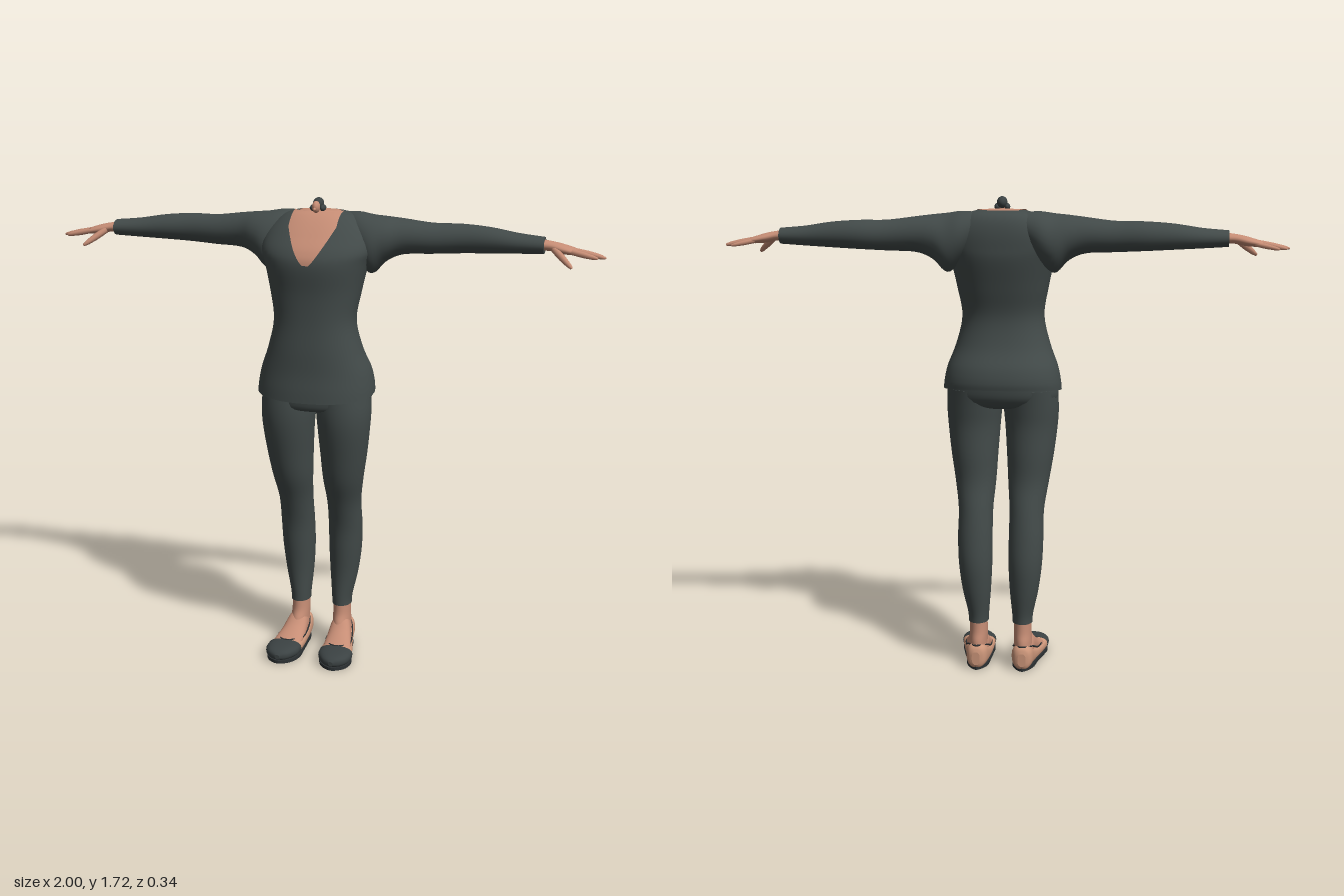
import * as THREE from 'three';

const mat = (name, color, side = THREE.FrontSide) => {
  const m = new THREE.MeshStandardMaterial({ color, side });
  m.name = name;
  return m;
};
const cloth = mat('charcoal cloth', 0x424a49);
const skin = mat('skin', 0xc68d75, THREE.DoubleSide);
const shoeTan = mat('tan shoe', 0xcc967a);
const dark = mat('dark trim', 0x2c3133);
const toe = mat('toe cap', 0x3b4243);

// Catmull-Rom smoothing of section rows [t, a0, a1, b0, b1]
function dense(rows, sub = 5) {
  const out = [], n = rows.length;
  for (let i = 0; i < n - 1; i++) {
    const [p, q, r, s] = [rows[Math.max(i - 1, 0)], rows[i], rows[i + 1], rows[Math.min(i + 2, n - 1)]];
    for (let k = 0; k < sub; k++) {
      const u = k / sub;
      out.push(q.map((v, j) => 0.5 * (2 * v + (r[j] - p[j]) * u + (2 * p[j] - 5 * v + 4 * r[j] - s[j]) * u * u
        + (3 * v - p[j] - 3 * r[j] + s[j]) * u ** 3)));
    }
  }
  out.push(rows[n - 1]);
  return out;
}

// Point on a section; (a, b) are (z, x) for axis y, (y, z) for x, (x, y) for z
function point([t, a0, a1, b0, b1], axis, ang, pw = 1) {
  const f = (v) => Math.sign(v) * Math.abs(v) ** pw;
  const a = (a0 + a1) / 2 + (a1 - a0) / 2 * f(Math.cos(ang));
  const b = (b0 + b1) / 2 + (b1 - b0) / 2 * f(Math.sin(ang));
  return axis === 'y' ? [b, t, a] : axis === 'x' ? [t, a, b] : [a, b, t];
}

function makeGeo(pos, idx) {
  const g = new THREE.BufferGeometry();
  g.setAttribute('position', new THREE.Float32BufferAttribute(pos, 3));
  g.setIndex(idx);
  g.computeVertexNormals();
  return g;
}

// Closed skin through the sections, with flat end caps
function loft(rows, axis, { n = 28, pw = 1, move } = {}) {
  const secs = dense(rows), pos = [], idx = [], last = secs.length - 1;
  const ring = (s) => {
    for (let j = 0; j < n; j++) pos.push(...point(s, axis, j / n * Math.PI * 2, pw));
  };
  secs.forEach(ring);
  for (let i = 0; i < last; i++) for (let j = 0; j < n; j++) {
    const a = i * n + j, b = i * n + (j + 1) % n;
    idx.push(a, b, b + n, a, b + n, a + n);
  }
  for (const [s, up] of [[secs[0], false], [secs[last], true]]) {
    const base = pos.length / 3;
    ring(s);
    const [t, a0, a1, b0, b1] = s;
    pos.push(...point([t, (a0 + a1) / 2, (a0 + a1) / 2, (b0 + b1) / 2, (b0 + b1) / 2], axis, 0));
    for (let j = 0; j < n; j++) {
      const a = base + j, b = base + (j + 1) % n;
      idx.push(...(up ? [a, b, base + n] : [b, a, base + n]));
    }
  }
  if (move) for (let i = 0; i < pos.length; i += 3) move(pos, i);
  return makeGeo(pos, idx);
}

function mirrored(geo) {
  const g = geo.clone().scale(-1, 1, 1), ix = g.index.array;
  for (let i = 0; i < ix.length; i += 3) [ix[i], ix[i + 1]] = [ix[i + 1], ix[i]];
  return g;
}

// Tapered finger with a rounded tip
function finger(from, to, r) {
  const a = new THREE.Vector3(...from), d = new THREE.Vector3(...to).sub(a), l = d.length();
  const prof = [[r, 0], [r, l * 0.45], [r * 0.75, l * 0.8], [r * 0.45, l * 0.96], [0, l]];
  const g = new THREE.LatheGeometry(prof.map((p) => new THREE.Vector2(...p)), 10);
  g.applyQuaternion(new THREE.Quaternion().setFromUnitVectors(new THREE.Vector3(0, 1, 0), d.normalize()));
  return g.translate(a.x, a.y, a.z);
}

const sym = (t, z0, z1, x) => [t, z0, z1, -x, x];
const torso = [
  sym(1.02, -0.163, 0.15, 0.214), sym(1.06, -0.166, 0.147, 0.211), sym(1.12, -0.158, 0.14, 0.2),
  sym(1.2, -0.122, 0.136, 0.17), sym(1.3, -0.105, 0.128, 0.148), sym(1.4, -0.128, 0.128, 0.163),
  sym(1.5, -0.155, 0.137, 0.185), sym(1.55, -0.16, 0.122, 0.2), sym(1.6, -0.16, 0.082, 0.19),
  sym(1.64, -0.152, 0.045, 0.16), sym(1.665, -0.135, 0.015, 0.125), sym(1.677, -0.105, -0.01, 0.085)];
const PW = 0.88;

// Skin showing in the V neck, lying just over the torso surface
function neckline() {
  const rows = dense(torso, 10).filter((s) => s[0] > 1.5), pos = [], idx = [], m = 20;
  rows.forEach((s, i) => {
    const w = 0.084 * Math.min(1, (s[0] - 1.5) / 0.13) ** 0.7;
    const A = Math.asin(Math.min(1, w / s[4]) ** (1 / PW));
    const e = 0.005, big = [s[0] + 0.002, s[1] - e, s[2] + e, s[3] - e, s[4] + e];
    for (let j = 0; j <= m; j++) {
      pos.push(...point(big, 'y', A * (2 * j / m - 1), PW));
      if (i && j) {
        const d = i * (m + 1) + j, c = d - 1, b = d - m - 1, a = b - 1;
        idx.push(a, b, d, a, d, c);
      }
    }
  });
  return makeGeo(pos, idx);
}

export function createModel() {
  const root = new THREE.Group();
  const add = (name, geo, m, parent = root) => {
    const mesh = new THREE.Mesh(geo, m);
    mesh.name = name;
    parent.add(mesh);
    return mesh;
  };
  const pair = (name, geo, m) => {
    add(name + 'Left', geo, m);
    add(name + 'Right', mirrored(geo), m);
  };

  // Tunic, with the hem rising toward the back
  add('tunic', loft(torso, 'y', {
    n: 48, pw: PW,
    move: (p, i) => { if (p[i + 1] < 1.1) p[i + 1] += (0.15 - p[i + 2]) * 0.1 * (1.1 - p[i + 1]) / 0.08; },
  }), cloth);
  add('necklineSkin', neckline(), skin);
  pair('sleeve', loft([
    [0.09, 1.56, 1.672, -0.14, -0.03], [0.14, 1.5, 1.674, -0.16, 0.01], [0.19, 1.46, 1.667, -0.162, 0.03],
    [0.24, 1.505, 1.662, -0.153, 0.015], [0.3, 1.53, 1.655, -0.145, -0.012], [0.4, 1.535, 1.643, -0.142, -0.03],
    [0.5, 1.54, 1.642, -0.148, -0.042], [0.6, 1.545, 1.635, -0.14, -0.04], [0.7, 1.55, 1.62, -0.125, -0.035],
    [0.79, 1.555, 1.612, -0.11, -0.03]], 'x'), cloth);

  // Hands
  pair('palm', loft([
    [0.77, 1.565, 1.605, -0.1, -0.04], [0.81, 1.566, 1.6, -0.098, -0.038], [0.85, 1.558, 1.592, -0.106, -0.03],
    [0.89, 1.556, 1.58, -0.108, -0.03], [0.905, 1.561, 1.574, -0.1, -0.036]], 'x', { n: 20 }), skin);
  [
    [[0.885, 1.57, -0.037], [0.975, 1.552, -0.027], 0.01],
    [[0.89, 1.57, -0.06], [1.0, 1.55, -0.058], 0.01],
    [[0.89, 1.569, -0.081], [0.99, 1.55, -0.088], 0.0095],
    [[0.88, 1.567, -0.098], [0.962, 1.55, -0.118], 0.0085],
    [[0.825, 1.575, -0.045], [0.893, 1.522, 0.014], 0.012],
  ].forEach((f, i) => pair('finger' + (i + 1), finger(...f), skin));

  // Trousers
  add('trouserSeat', loft([
    sym(0.972, -0.08, 0.08, 0.12), sym(0.985, -0.108, 0.1, 0.185), sym(1.02, -0.132, 0.106, 0.203),
    sym(1.08, -0.14, 0.11, 0.195)], 'y', { pw: 0.9 }), cloth);
  pair('trouserLeg', loft([
    [0.175, -0.127, -0.03, 0.045, 0.119], [0.21, -0.13, -0.03, 0.043, 0.121], [0.3, -0.146, -0.03, 0.035, 0.14],
    [0.4, -0.155, -0.022, 0.03, 0.153], [0.5, -0.146, -0.012, 0.03, 0.157], [0.6, -0.128, 0.016, 0.03, 0.157],
    [0.7, -0.105, 0.055, 0.022, 0.172], [0.8, -0.103, 0.08, 0.016, 0.188], [0.9, -0.1, 0.1, 0.009, 0.2],
    [0.97, -0.108, 0.105, 0.003, 0.204], [1.04, -0.12, 0.1, 0.002, 0.2]], 'y'), cloth);

  // Ankles and feet
  pair('ankle', loft([
    [0.05, -0.135, 0.0, 0.05, 0.118], [0.1, -0.134, -0.012, 0.05, 0.117], [0.14, -0.125, -0.03, 0.049, 0.115],
    [0.2, -0.122, -0.036, 0.05, 0.114]], 'y'), skin);
  pair('instep', loft([
    [-0.1, 0.05, 0.12, 0.02, 0.1], [-0.05, 0.046, 0.126, 0.02, 0.13], [0, 0.044, 0.138, 0.02, 0.093],
    [0.04, 0.044, 0.148, 0.02, 0.072], [0.085, 0.048, 0.152, 0.02, 0.052]], 'z'), skin);

  // Flat shoes: tan body, dark toe cap, rim and sole
  pair('shoeBody', loft([
    [-0.148, 0.07, 0.1, 0.02, 0.07], [-0.14, 0.056, 0.114, 0.008, 0.088], [-0.12, 0.046, 0.123, 0.006, 0.096],
    [-0.08, 0.042, 0.128, 0.006, 0.08], [-0.03, 0.04, 0.138, 0.006, 0.062], [0.03, 0.038, 0.152, 0.006, 0.056],
    [0.08, 0.038, 0.163, 0.006, 0.058]], 'z', { pw: 0.75 }), shoeTan);
  pair('toeCap', loft([
    [0.075, 0.037, 0.164, 0.005, 0.06], [0.11, 0.04, 0.165, 0.006, 0.058], [0.14, 0.055, 0.155, 0.009, 0.054],
    [0.16, 0.072, 0.136, 0.014, 0.048], [0.172, 0.095, 0.113, 0.022, 0.038]], 'z', { pw: 0.8 }), toe);
  const rim = [[0.1, 0.06, 0.078], [0.14, 0.054, 0.035], [0.135, 0.058, -0.03], [0.12, 0.08, -0.085],
    [0.085, 0.094, -0.142], [0.05, 0.08, -0.085], [0.044, 0.058, -0.03], [0.05, 0.054, 0.035]];
  pair('shoeRim', new THREE.TubeGeometry(new THREE.CatmullRomCurve3(
    rim.map((p) => new THREE.Vector3(...p)), true), 60, 0.003, 6, true), dark);
  const outline = [[0.104, 0.166], [0.148, 0.14], [0.162, 0.095], [0.15, 0.03], [0.135, -0.03], [0.121, -0.1],
    [0.085, -0.145], [0.049, -0.1], [0.043, -0.03], [0.04, 0.03], [0.04, 0.095], [0.06, 0.14]];
  const sole = new THREE.Shape(new THREE.CatmullRomCurve3(
    outline.map(([x, z]) => new THREE.Vector3(x, -z, 0)), true).getPoints(48).map((p) => new THREE.Vector2(p.x, p.y)));
  const soleGeo = new THREE.ExtrudeGeometry(sole, { depth: 0.012, bevelEnabled: false }).rotateX(-Math.PI / 2);
  soleGeo.setIndex([...Array(soleGeo.attributes.position.count).keys()]);
  pair('sole', soleGeo, dark);

  // Neck stump and the very small head with tied-back hair
  add('neckBase', loft([
    sym(1.668, -0.108, -0.004, 0.084), sym(1.678, -0.1, -0.012, 0.075), sym(1.681, -0.06, -0.02, 0.03)], 'y'), skin);
  const ball = (name, m, [x, y, z], [a, b, c]) =>
    add(name, new THREE.SphereGeometry(1, 18, 12).scale(a, b, c).translate(x, y, z), m);
  ball('neck', skin, [0, 1.682, -0.025], [0.012, 0.018, 0.012]);
  ball('face', skin, [0, 1.694, 0.002], [0.014, 0.021, 0.021]);
  ball('nose', skin, [0, 1.688, 0.022], [0.005, 0.006, 0.009]);
  ball('hair', toe, [0, 1.703, -0.03], [0.019, 0.021, 0.028]);
  for (const s of [-1, 1]) ball(s > 0 ? 'hairSideLeft' : 'hairSideRight', toe, [0.018 * s, 1.688, -0.025], [0.01, 0.012, 0.022]);
  return root;
}
